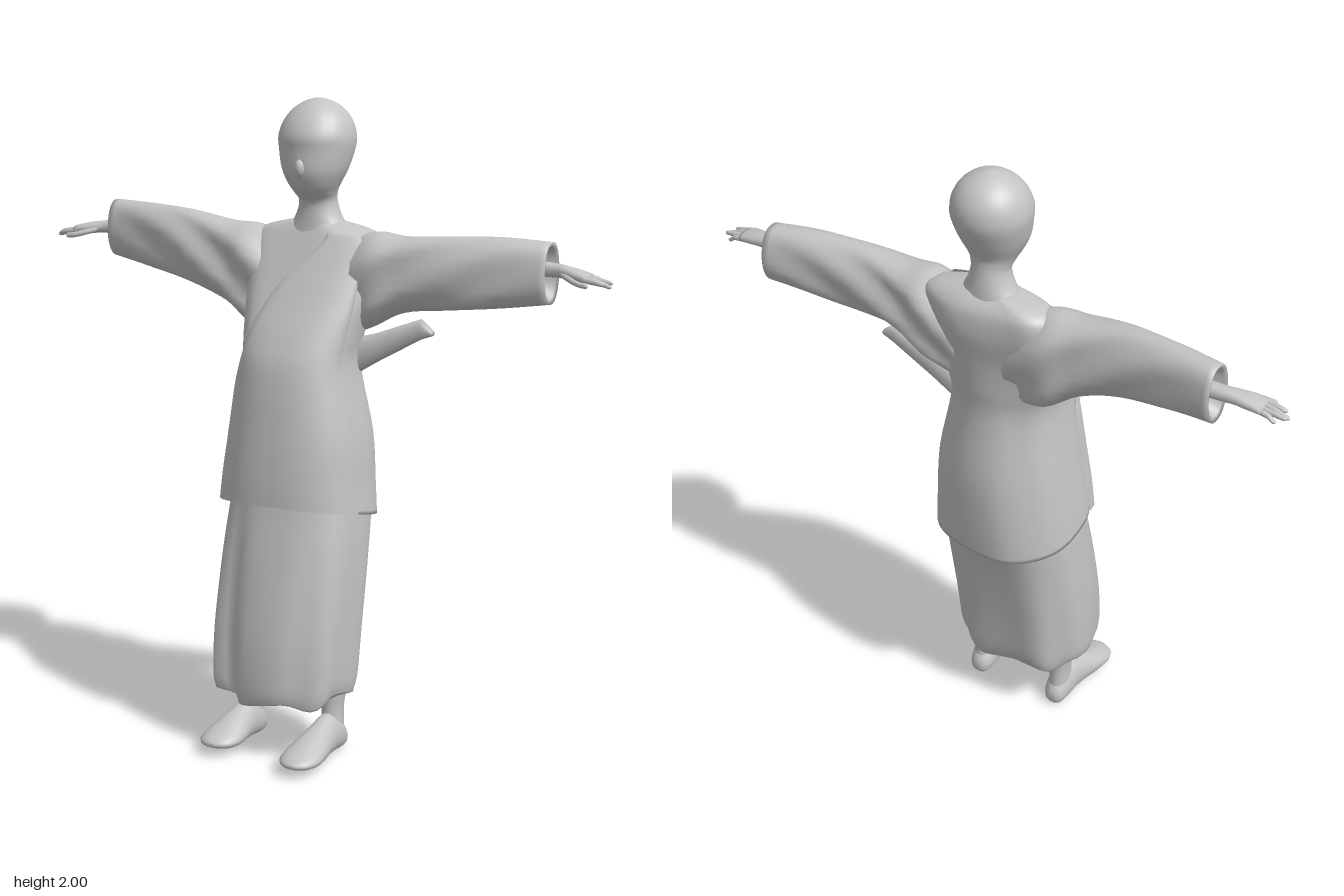
import * as THREE from 'three';

const cloth = new THREE.MeshStandardMaterial({ color: 0xc4c4c4, side: THREE.DoubleSide });
cloth.name = 'plain grey';

// Resample rows of section numbers along a smooth curve
function smooth(rows, steps = 4) {
  const out = [];
  const at = i => rows[Math.max(0, Math.min(rows.length - 1, i))];
  for (let i = 0; i < rows.length - 1; i++) {
    for (let k = 0; k < steps; k++) {
      const t = k / steps;
      out.push(rows[i].map((p1, c) => {
        const p0 = at(i - 1)[c], p2 = at(i + 1)[c], p3 = at(i + 2)[c];
        return p1 + 0.5 * t * (p2 - p0 + t * (2 * p0 - 5 * p1 + 4 * p2 - p3 + t * (3 * (p1 - p2) + p3 - p0)));
      }));
    }
  }
  out.push(rows[rows.length - 1]);
  return out;
}

// Skin a list of point rings; closed rings wrap around, caps fill the ends
function loft(rings, { closed = true, capStart = false, capEnd = false, flip = false } = {}) {
  const n = rings[0].length, pos = [], index = [];
  const tri = (a, b, c) => (flip ? index.push(a, c, b) : index.push(a, b, c));
  rings.forEach(r => r.forEach(p => pos.push(p[0], p[1], p[2])));
  for (let j = 0; j < rings.length - 1; j++) {
    for (let i = 0; i < (closed ? n : n - 1); i++) {
      const a = j * n + i, b = j * n + (i + 1) % n;
      tri(a, b, b + n);
      tri(a, b + n, a + n);
    }
  }
  const cap = (j, start) => {
    const c = pos.length / 3;
    for (let k = 0; k < 3; k++) pos.push(rings[j].reduce((s, p) => s + p[k], 0) / n);
    for (let i = 0; i < n; i++) {
      const a = j * n + i, b = j * n + (i + 1) % n;
      start ? tri(c, b, a) : tri(a, b, c);
    }
  };
  if (capStart) cap(0, true);
  if (capEnd) cap(rings.length - 1, false);
  const g = new THREE.BufferGeometry();
  g.setAttribute('position', new THREE.Float32BufferAttribute(pos, 3));
  g.setIndex(index);
  g.computeVertexNormals();
  return g;
}

const bend = (v, p) => Math.sign(v) * Math.abs(v) ** (2 / p);
const ring = (n, f) => Array.from({ length: n }, (_, i) => f(i / n * Math.PI * 2));

// Point of an upright section [y, xMin, xMax, zBack, zFront, tilt]; angle 0 is the front
function around([y, x0, x1, zb, zf, tilt = 0], a, p = 2.4, grow = 0) {
  const dz = bend(Math.cos(a), p);
  return [(x0 + x1) / 2 + ((x1 - x0) / 2 + grow) * bend(Math.sin(a), p), y + tilt * dz,
    (zb + zf) / 2 + ((zf - zb) / 2 + grow) * dz];
}

// Section across x: [x, yMin, yMax, zBack, zFront]
const acrossX = (s, p, n, fold = () => 0) => ([x, y0, y1, zb, zf]) => ring(n, a => [s * x,
  (y0 + y1) / 2 - s * (y1 - y0) / 2 * bend(Math.sin(a), p),
  (zb + zf) / 2 + (zf - zb) / 2 * bend(Math.cos(a), p) + fold(x, a)]);

export function createModel() {
  const model = new THREE.Group();
  model.name = 'robedFigure';
  const add = (name, geo, parent = model) => {
    const m = new THREE.Mesh(geo, cloth);
    m.name = name;
    parent.add(m);
    return m;
  };

  // Head and neck
  const headRows = smooth([
    [1.58, -.12, .12, -.25, -.11], [1.64, -.075, .075, -.245, -.118], [1.69, -.058, .058, -.238, -.118],
    [1.72, -.065, .065, -.235, -.088], [1.745, -.078, .078, -.238, -.068], [1.79, -.1, .1, -.26, -.052],
    [1.85, -.115, .115, -.286, -.052], [1.89, -.117, .117, -.292, -.051], [1.93, -.105, .105, -.284, -.068],
    [1.965, -.08, .08, -.26, -.097], [1.99, -.043, .043, -.222, -.135], [2, -.008, .008, -.187, -.171]]);
  add('head', loft(headRows.map(r => ring(28, a => around(r, a, 2.05))), { capEnd: true }));
  const nose = add('nose', new THREE.SphereGeometry(1, 12, 8));
  nose.scale.set(.017, .028, .018);
  nose.position.set(0, 1.8, -.057);

  // Jacket body, leaning back towards the shoulders
  const bodyRows = smooth([
    [.755, -.235, .23, -.272, .135, .045], [.85, -.225, .222, -.275, .132, .03], [1, -.205, .21, -.27, .12, .01],
    [1.2, -.18, .172, -.24, .093, 0], [1.3, -.19, .18, -.245, .055, 0], [1.4, -.205, .2, -.255, 0, 0],
    [1.5, -.215, .212, -.275, -.055, 0], [1.57, -.215, .215, -.275, -.095, 0], [1.605, -.18, .18, -.26, -.115, 0],
    [1.63, -.08, .08, -.235, -.13, 0]], 5);
  const bodyRings = bodyRows.map(r => ring(40, a => {
    const q = around(r, a);
    q[2] += .006 * Math.sin(5 * a + 4 * r[0]) * Math.cos(a);
    return q;
  }));
  add('jacket', loft(bodyRings, { capStart: true, capEnd: true }));

  // Front panel wrapping diagonally over the chest
  const panelRows = bodyRows.filter(r => r[0] < 1.6);
  add('jacketFrontPanel', loft(panelRows.map(r => {
    const k = THREE.MathUtils.clamp((r[0] - 1.12) / .48, 0, 1);
    const left = THREE.MathUtils.lerp(-1.2, .25, k), right = THREE.MathUtils.lerp(1.35, .9, k);
    return Array.from({ length: 19 }, (_, i) => {
      const u = i / 18, lap = i === 0 || i === 18 ? .002 : .013;
      return around(r, left + (right - left) * u, 2.4, lap);
    });
  }), { closed: false }));

  // Loose lapel sticking out below the left arm
  add('sideFlap', loft([
    [.1, 1.14, 1.27, -.18, -.1], [.22, 1.215, 1.305, -.175, -.12], [.36, 1.295, 1.358, -.175, -.135],
    [.4, 1.31, 1.325, -.165, -.14]].map(acrossX(1, 2.2, 12)), { capEnd: true }));

  // Skirt with soft folds, its hem tucked under
  const skirtRows = smooth([
    [.2, -.215, .195, -.145, .19], [.25, -.225, .205, -.16, .197], [.4, -.228, .212, -.178, .185],
    [.6, -.222, .216, -.21, .15], [.78, -.21, .21, -.245, .112], [.9, -.19, .19, -.24, .09]], 5);
  const skirtRings = skirtRows.map(r => ring(48, a => {
    const low = THREE.MathUtils.clamp((.9 - r[0]) / .7, 0, 1);
    const dent = -.035 * Math.exp(-(((a > Math.PI ? a - 2 * Math.PI : a) + .55) ** 2) / .03);
    const q = around(r, a, 2.7, low * (.007 * Math.sin(7 * a + 1) + dent));
    if (r[0] < .3) q[1] += (.3 - r[0]) * .12 * Math.sin(6 * a) - (.3 - r[0]) * .2 * Math.max(0, Math.cos(a));
    return q;
  }));
  const tuck = (s, y) => skirtRings[0].map(p => [p[0] * s, y, .02 + (p[2] - .02) * s]);
  add('skirt', loft([tuck(.8, .24), tuck(.9, .19), ...skirtRings], { capStart: true, capEnd: true }));

  // Arms: draped sleeve, hand, fingers and thumb
  const sleeves = {
    right: [[.08, 1.27, 1.57, -.24, -.1], [.2, 1.29, 1.608, -.262, -.07], [.3, 1.355, 1.612, -.245, -.085],
      [.45, 1.41, 1.635, -.238, -.1], [.6, 1.438, 1.642, -.248, -.13], [.75, 1.462, 1.642, -.272, -.158]],
    left: [[.08, 1.27, 1.57, -.24, -.1], [.2, 1.32, 1.61, -.262, -.07], [.3, 1.37, 1.602, -.245, -.085],
      [.45, 1.39, 1.612, -.24, -.1], [.6, 1.405, 1.618, -.252, -.13], [.75, 1.425, 1.61, -.275, -.16]],
  };
  for (const [side, rows] of Object.entries(sleeves)) {
    const s = side === 'left' ? 1 : -1;
    const arm = new THREE.Group();
    arm.name = side + 'Arm';
    model.add(arm);
    const [, y0, y1, zb, zf] = rows[5];
    const fold = (x, a) => .012 * Math.sin(18 * x + 5 * Math.sin(a) * s) * Math.max(0, .8 - x) * 2 * Math.cos(a);
    const cuff = [[.745, y0 + .015, y1 - .015, zb + .015, zf - .015], [.66, y0 + .04, y1 - .04, zb + .03, zf - .03]];
    add(side + 'Sleeve', loft([...smooth(rows, 5), ...cuff].map(acrossX(s, 2.3, 28, fold)), { capEnd: true }), arm);

    const hy = side === 'left' ? 1.53 : 1.552;
    const handRows = smooth([
      [.62, hy - .022, hy + .028, -.24, -.185], [.76, hy - .02, hy + .022, -.228, -.18],
      [.8, hy - .02, hy + .018, -.225, -.168], [.84, hy - .024, hy + .012, -.224, -.155],
      [.88, hy - .026, hy + .002, -.22, -.152]], 3);
    add(side + 'Hand', loft(handRows.map(acrossX(s, 2.3, 14)), { capEnd: true }), arm);
    [.925, .948, .95, .935].forEach((tip, i) => {
      const z = -.211 + i * .017, ty = hy - .03 + (i % 2) * .008;
      const finger = smooth([
        [.865, hy - .022, hy - .004, z - .008, z + .008], [.9, hy - .026, hy - .008, z - .008, z + .008],
        [tip - .008, ty - .007, ty + .007, z - .007, z + .007], [tip, ty - .002, ty + .002, z - .002, z + .002]], 2);
      add(side + 'Finger', loft(finger.map(acrossX(s, 2, 8)), { capEnd: true }), arm);
    });
    const thumb = new THREE.CatmullRomCurve3([[.8, -.006, -.175], [.835, -.016, -.15], [.865, -.024, -.137],
      [.885, -.026, -.136]].map(([x, y, z]) => new THREE.Vector3(s * x, hy + y, z)));
    add(side + 'Thumb', new THREE.TubeGeometry(thumb, 8, .0085, 8), arm);
    const thumbTip = add(side + 'ThumbTip', new THREE.SphereGeometry(.0085, 8, 6), arm);
    thumbTip.position.copy(thumb.getPoint(1));
  }

  // Legs and tapered shoes
  for (const s of [-1, 1]) {
    const side = s > 0 ? 'left' : 'right';
    const leg = new THREE.Group();
    leg.name = side + 'Leg';
    leg.position.set(s * .143, 0, 0);
    model.add(leg);
    const calf = smooth([[.03, -.036, .036, -.058, .03], [.09, -.033, .033, -.052, .034],
      [.15, -.034, .034, -.05, .03], [.22, -.042, .042, -.062, .034], [.4, -.05, .05, -.08, .04]]);
    add(side + 'Calf', loft(calf.map(r => ring(18, a => around(r, a, 2))), { capStart: true, capEnd: true }), leg);

    // Sections along z: [z, half width, yMin, yMax]
    const toe = s > 0 ? 1 : .84;
    const shoe = smooth([[-.066, .012, .018, .045], [-.055, .03, .004, .07], [-.02, .041, .002, .11],
      [.03, .044, .006, .13], [.09, .05, .01, .116], [.16, .062, .014, .096], [.22, .064, .02, .076],
      [.265, .046, .028, .06], [.285, .014, .036, .048]]);
    add(side + 'Shoe', loft(shoe.map(([z, w, y0, y1]) => ring(22, a => {
      const up = Math.sin(a), narrow = up > 0 ? 1 - .35 * up : 1;
      return [s * Math.max(0, z) * .03 + w * narrow * bend(Math.cos(a), 2.5),
        (y0 + y1) / 2 + (y1 - y0) / 2 * bend(up, 2.5), z > 0 ? z * toe : z];
    })), { capStart: true, capEnd: true }), leg);
  }
  return model;
}
